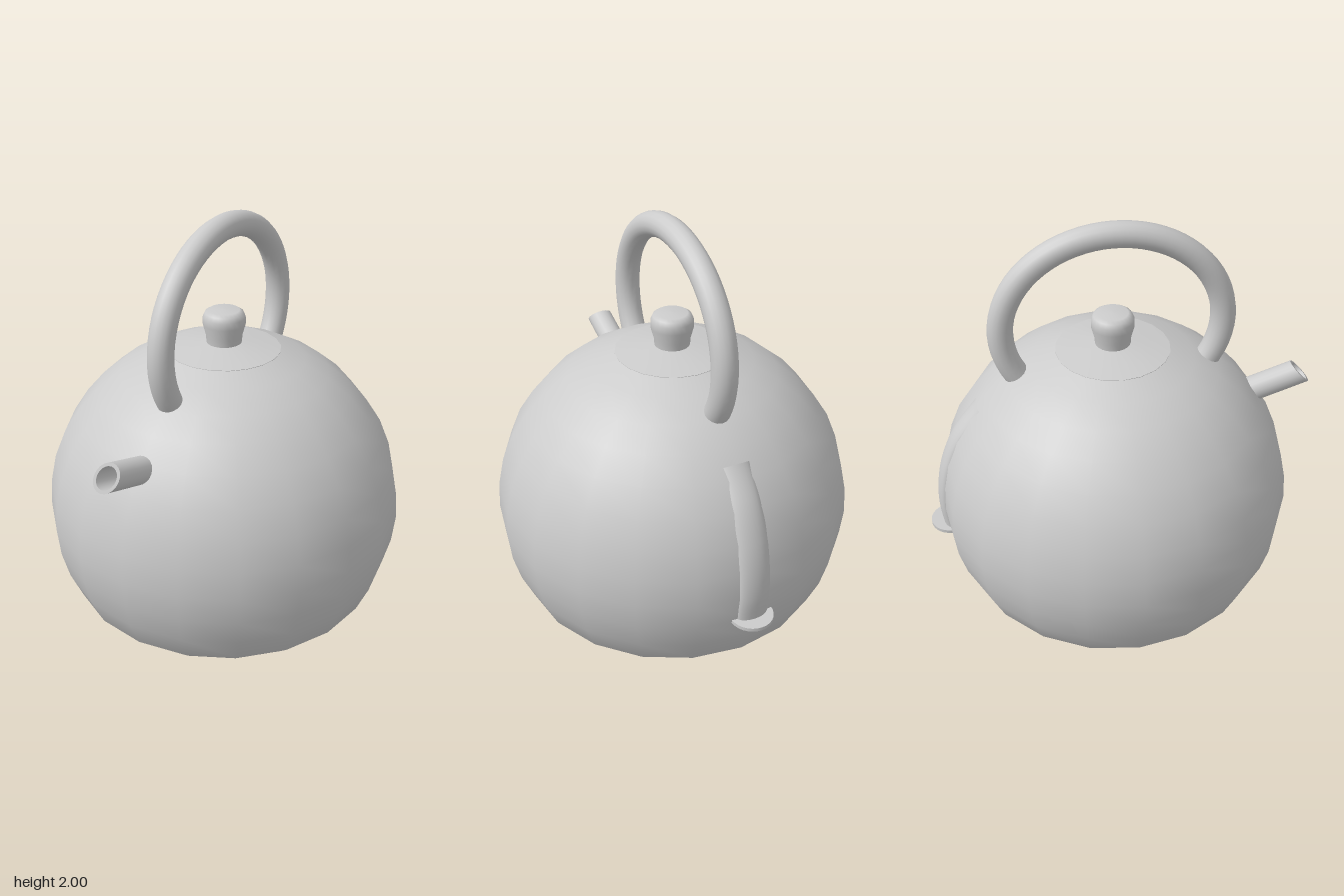
import * as THREE from 'three';

const material = new THREE.MeshStandardMaterial({ color: 0xcccccc, side: THREE.DoubleSide });
const CENTRE_Z = -0.02;

// Lathe from [radius, height] pairs; a repeated pair gives a sharp edge
const lathe = (pairs, sides) =>
  new THREE.LatheGeometry(pairs.map(([r, y]) => new THREE.Vector2(r, y)), sides);

// Smooth curve in the x = 0 plane from [z, y] pairs
const sideCurve = (pairs) =>
  new THREE.CatmullRomCurve3(pairs.map(([z, y]) => new THREE.Vector3(0, y, z)));

export function createModel() {
  const kettle = new THREE.Group();
  kettle.name = 'kettle';

  const add = (name, geometry, x = 0, y = 0, z = 0) => {
    const mesh = new THREE.Mesh(geometry, material);
    mesh.name = name;
    mesh.position.set(x, y, z);
    kettle.add(mesh);
    return mesh;
  };

  // Round body with a flat base
  add('body', lathe([
    [0, 0], [0.7, 0], [0.73, 0.005], [0.79, 0.06], [0.85, 0.2], [0.886, 0.34], [0.9, 0.48],
    [0.89, 0.62], [0.86, 0.76], [0.803, 0.9], [0.725, 1.02], [0.63, 1.13],
    [0.52, 1.22], [0.4, 1.285], [0.28, 1.332],
  ], 20), 0, 0, CENTRE_Z);

  // Shallow conical lid
  add('lid', lathe([
    [0.28, 1.322], [0.28, 1.334], [0.28, 1.334], [0.1, 1.365], [0, 1.37],
  ], 20), 0, 0, CENTRE_Z);

  // Knob, flaring to a rounded top
  add('lidKnob', lathe([
    [0.085, 1.34], [0.089, 1.4], [0.105, 1.46], [0.104, 1.495], [0.094, 1.518],
    [0.075, 1.53], [0, 1.532],
  ], 24), 0, 0, CENTRE_Z);

  // Hoop handle running front to back, its ends sunk into the body
  const hoop = [];
  for (let i = 0; i <= 24; i++) {
    const a = THREE.MathUtils.degToRad(-38 + (256 * i) / 24);
    hoop.push([-0.018 + 0.537 * Math.cos(a), 1.46 + 0.478 * Math.sin(a)]);
  }
  add('handle', new THREE.TubeGeometry(sideCurve(hoop), 48, 0.062, 16));

  // Hollow spout, its tip cut at a slant so the underside is longer
  const spout = lathe([
    [0.065, -0.4], [0.065, 0], [0.065, 0], [0.05, 0], [0.05, 0], [0.05, -0.4],
  ], 20);
  const p = spout.attributes.position;
  for (let i = 0; i < p.count; i++) {
    if (p.getY(i) > -0.1) p.setY(i, p.getY(i) + 0.46 * p.getZ(i));
  }
  add('spout', spout, 0, 1.08, 0.945).rotation.x = 1.245;

  // Flattened ridge following the back of the body
  const ridge = new THREE.TubeGeometry(sideCurve([
    [-0.67, 1.06], [-0.79, 0.9], [-0.853, 0.76], [-0.888, 0.62], [-0.899, 0.48], [-0.886, 0.34],
  ]), 28, 0.04, 20);
  ridge.scale(2, 1, 1);
  add('backRidge', ridge);

  // Thin round tab at the foot of the ridge
  add('backTab', new THREE.CylinderGeometry(0.105, 0.105, 0.018, 28), 0, 0.343, -0.887);

  return kettle;
}
